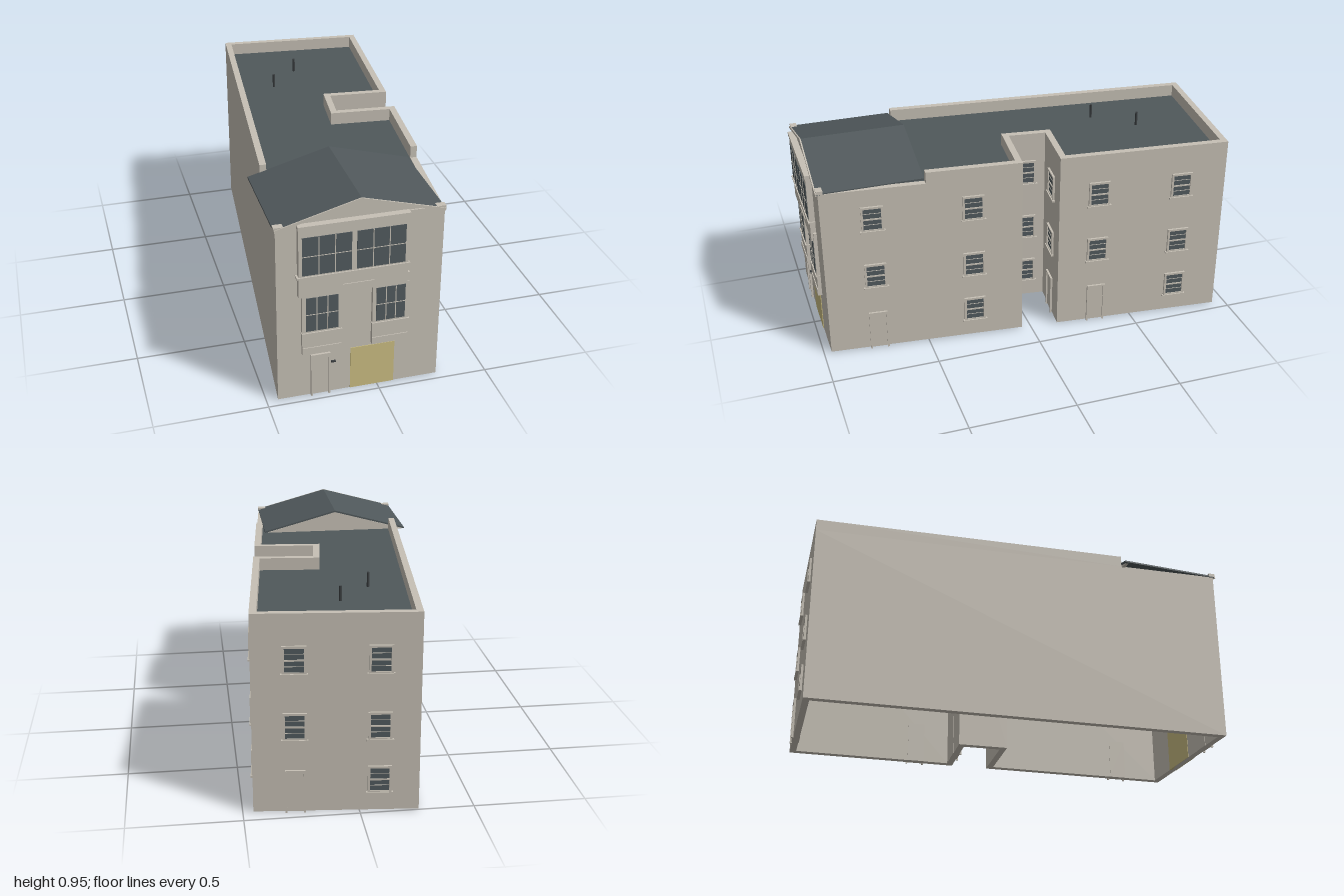
import * as THREE from 'three';

const mat = (name, color) => Object.assign(new THREE.MeshStandardMaterial({ color }), { name });

export function createModel() {
  const stone = mat('stone', 0xc6c0b5);
  const slate = mat('slate', 0x50585b);
  const glass = mat('glass', 0x515a5e);
  const yellow = mat('yellow door', 0xcabd82);
  const dark = mat('dark metal', 0x3c4042);
  const model = new THREE.Group();
  model.name = 'building';

  const add = (name, geo, material, parent = model) => {
    const m = new THREE.Mesh(geo, material);
    m.name = name;
    parent.add(m);
    return m;
  };
  // box given by its x, y and z ranges
  const box = (name, x0, x1, y0, y1, z0, z1, material = stone, parent = model) => {
    const m = add(name, new THREE.BoxGeometry(x1 - x0, y1 - y0, z1 - z0), material, parent);
    m.position.set((x0 + x1) / 2, (y0 + y1) / 2, (z0 + z1) / 2);
    return m;
  };
  const shapeOf = (pts) => new THREE.Shape(pts.map(([x, y]) => new THREE.Vector2(x, y)));
  const extrude = (shape, depth) => new THREE.ExtrudeGeometry(shape, { depth, bevelEnabled: false });
  // plan outline (x, z) raised from y0 to y1
  const plan = (name, pts, y0, y1, material, hole) => {
    const flip = (p) => p.map(([x, z]) => [x, -z]);
    const s = shapeOf(flip(pts));
    if (hole) s.holes.push(shapeOf(flip(hole)));
    const m = add(name, extrude(s, y1 - y0).rotateX(-Math.PI / 2), material);
    m.position.y = y0;
  };

  // footprint, starting at the front right corner of the elevation's left end
  const foot = [[-0.45, 0.965], [0.277, 0.965], [0.363, 0.045], [0.08, 0.02],
    [0.10, -0.155], [0.38, -0.13], [0.455, -0.935], [-0.255, -1]];
  const n = foot.length;
  const normal = (i) => {
    const [a, b] = [foot[(i + n) % n], foot[(i + 1) % n]];
    const l = Math.hypot(b[0] - a[0], b[1] - a[1]);
    return [-(b[1] - a[1]) / l, (b[0] - a[0]) / l];
  };
  // mitred inset of the footprint
  const inset = (d) => foot.map(([x, z], i) => {
    const p = normal(i - 1), q = normal(i);
    const k = d / (1 + p[0] * q[0] + p[1] * q[1]);
    return [x - (p[0] + q[0]) * k, z - (p[1] + q[1]) * k];
  });
  const inner = inset(0.03);

  // hollow walls, flat roof and parapet
  plan('walls', foot, 0.005, 0.85, stone, inner);
  plan('flatRoof', inset(0.028), 0.835, 0.847, slate);
  const zEnd = 0.487;
  const at = (a, b) => [a[0] + (b[0] - a[0]) * (a[1] - zEnd) / (a[1] - b[1]), zEnd];
  plan('parapet', [at(foot[1], foot[2]), ...foot.slice(2), at(foot[0], foot[7]),
    at(inner[0], inner[7]), ...inner.slice(2).reverse(), at(inner[1], inner[2])], 0.85, 0.905, stone);

  // roof vents
  for (const [x, z] of [[0.04, -0.65], [-0.11, -0.47]]) {
    add('roofVent', new THREE.CylinderGeometry(0.006, 0.006, 0.07, 10), dark).position.set(x, 0.88, z);
  }

  // pitched roof with gables and rake trim
  const xl = -0.456, xr = 0.278, xm = -0.089, eave = 0.855, peak = 0.955;
  const chevron = (t) => shapeOf([[xl, eave - t], [xm, peak - t], [xr, eave - t], [xr, eave], [xm, peak], [xl, eave]]);
  add('pitchedRoof', extrude(chevron(0.008), 0.485), slate).position.z = 0.485;
  add('rakeTrim', extrude(chevron(0.012), 0.006), stone).position.z = 0.97;
  for (const z of [0.49, 0.95]) {
    add('gable', extrude(shapeOf([[xl + 0.01, 0.846], [xr - 0.01, 0.846], [xm, peak - 0.007]]), 0.015), stone).position.z = z;
  }
  box('cornice', -0.42, 0.24, 0.852, 0.865, 0.96, 0.972);
  box('corniceEndLeft', 0.24, 0.28, 0.85, 0.866, 0.942, 0.972);
  box('corniceEndRight', -0.457, -0.415, 0.85, 0.866, 0.942, 0.972);

  // fixture frame on wall i at fraction t; local z points outward
  const mount = (name, i, t, y) => {
    const [a, b] = [foot[i], foot[(i + 1) % n]];
    const g = new THREE.Group();
    g.name = name;
    g.position.set(a[0] + (b[0] - a[0]) * t, y, a[1] + (b[1] - a[1]) * t);
    g.rotation.y = Math.atan2(a[1] - b[1], b[0] - a[0]);
    model.add(g);
    return g;
  };
  const sashWindow = (i, t, y) => {
    const g = mount('sashWindow', i, t, y);
    box('pane', -0.046, 0.046, 0.006, 0.12, 0, 0.004, glass, g);
    for (const s of [-1, 1]) box('jamb', s * 0.046 - 0.005, s * 0.046 + 0.005, 0, 0.125, 0, 0.01, stone, g);
    box('head', -0.051, 0.051, 0.115, 0.125, 0, 0.01, stone, g);
    box('meetingRail', -0.046, 0.046, 0.058, 0.065, 0, 0.008, stone, g);
    box('bottomRail', -0.046, 0.046, 0.002, 0.009, 0, 0.008, stone, g);
    box('sill', -0.058, 0.058, -0.005, 0.003, 0, 0.014, stone, g);
    for (const y2 of [0.034, 0.09]) box('glazingBar', -0.046, 0.046, y2 - 0.001, y2 + 0.001, 0, 0.006, stone, g);
  };
  const door = (i, t, w, h) => {
    const g = mount('door', i, t, 0);
    box('doorPanel', -w / 2, w / 2, 0.005, h, -0.032, 0.003, stone, g);
    for (const s of [-1, 1]) box('doorJamb', s * w / 2 - 0.004, s * w / 2 + 0.004, 0, h, 0, 0.01, stone, g);
    box('doorHead', -w / 2 - 0.004, w / 2 + 0.004, h - 0.007, h, 0, 0.01, stone, g);
  };
  // wall, position along it, and whether the ground floor opening is a door
  const columns = [[1, 0.25, true], [1, 0.75], [2, 0.5], [3, 0.46], [4, 0.5, true],
    [5, 0.236, true], [5, 0.733], [6, 0.255, true], [6, 0.76]];
  for (const [i, t, hasDoor] of columns) {
    sashWindow(i, t, 0.64);
    sashWindow(i, t, 0.34);
    if (hasDoor) door(i, t, 0.08, 0.2);
    else sashWindow(i, t, 0.09);
  }

  // front entrance, plaque and garage door
  door(0, (-0.26 + 0.45) / 0.727, 0.078, 0.215);
  box('plaque', -0.212, -0.192, 0.159, 0.167, 0.965, 0.972, dark);
  box('garageDoor', -0.125, 0.075, 0.005, 0.217, 0.933, 0.968, yellow);

  // glazing with a grid of slim bars
  const glazing = (x0, x1, y0, y1, z) => {
    box('bayGlass', x0, x1, y0, y1, z - 0.002, z + 0.002, glass);
    for (let c = 1; c < 3; c++) {
      const x = x0 + (x1 - x0) * c / 3;
      box('bayMullion', x - 0.002, x + 0.002, y0, y1, z, z + 0.004);
    }
    const ym = (y0 + y1) / 2;
    box('bayTransom', x0, x1, ym - 0.0015, ym + 0.0015, z, z + 0.0035);
  };

  // wide upper bay
  box('upperBay', -0.36, 0.116, 0.625, 0.868, 0.95, 0.992);
  box('upperBayHead', -0.363, 0.119, 0.852, 0.868, 0.95, 0.996);
  box('upperBaySill', -0.369, 0.122, 0.621, 0.629, 0.95, 0.998);
  box('upperBayApron', -0.36, 0.116, 0.527, 0.622, 0.95, 0.99);
  box('apronMoulding', -0.17, -0.033, 0.562, 0.567, 0.98, 0.994);
  glazing(-0.345, -0.133, 0.635, 0.815, 0.992);
  glazing(-0.111, 0.101, 0.635, 0.815, 0.992);

  // two lower bays
  for (const [x0, x1, g0, g1] of [[-0.344, -0.172, -0.327, -0.186], [-0.034, 0.128, -0.018, 0.111]]) {
    box('lowerBay', x0, x1, 0.265, 0.53, 0.95, 0.982);
    box('lowerBaySill', x0 - 0.003, x1 + 0.003, 0.336, 0.342, 0.95, 0.988);
    box('lowerBayBase', x0, x1, 0.232, 0.266, 0.95, 0.986);
    glazing(g0, g1, 0.35, 0.516, 0.982);
  }
  box('bayReturn', 0.1, 0.129, 0.52, 0.57, 0.95, 0.98);

  return model;
}
